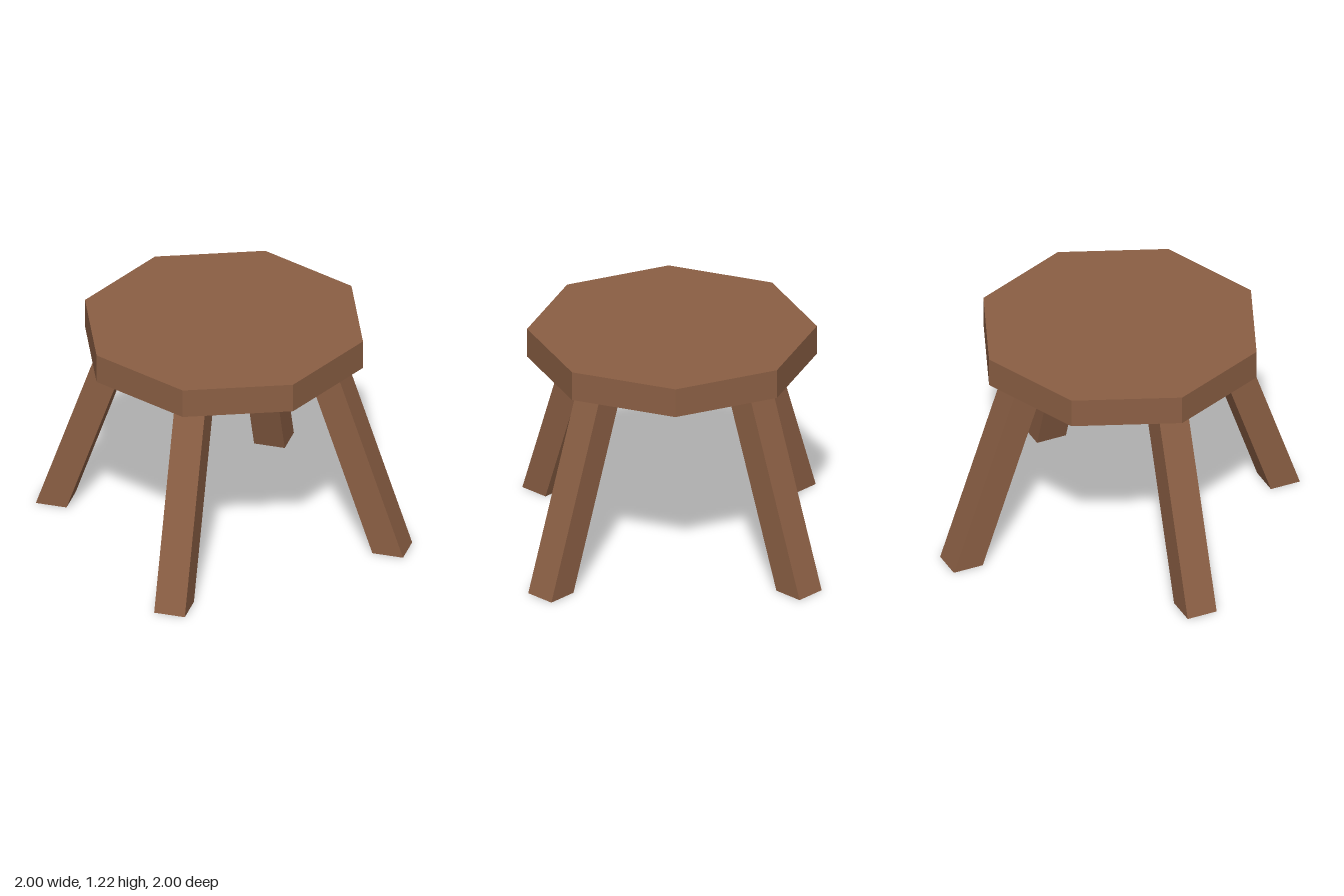
import * as THREE from 'three';

const SEAT_BOTTOM = 1.06, SEAT_TOP = 1.22;

// Square post leaning outwards along +x, with level ends
function legGeometry() {
  const g = new THREE.BoxGeometry(0.167, SEAT_BOTTOM, 0.167);
  g.translate(0, SEAT_BOTTOM / 2, 0);
  const p = g.attributes.position;
  for (let i = 0; i < p.count; i++) {
    const t = p.getY(i) / SEAT_BOTTOM;
    p.setX(i, p.getX(i) + THREE.MathUtils.lerp(0.9165, 0.552, t));
    p.setZ(i, p.getZ(i) - 0.004 * t);
  }
  g.computeVertexNormals();
  return g;
}

export function createModel() {
  const stool = new THREE.Group();
  stool.name = 'stool';
  const wood = new THREE.MeshStandardMaterial({ color: 0x8b5f44, flatShading: true });
  wood.name = 'brown wood';

  // Octagonal seat with corners on the x and z axes
  const seat = new THREE.Mesh(
    new THREE.CylinderGeometry(0.757, 0.757, SEAT_TOP - SEAT_BOTTOM, 8), wood);
  seat.name = 'seat';
  seat.position.y = (SEAT_TOP + SEAT_BOTTOM) / 2;
  stool.add(seat);

  // Four splayed legs, one under every other corner
  const geometry = legGeometry();
  ['leftLeg', 'backLeg', 'rightLeg', 'frontLeg'].forEach((name, i) => {
    const leg = new THREE.Mesh(geometry, wood);
    leg.name = name;
    leg.rotation.y = i * Math.PI / 2;
    stool.add(leg);
  });
  return stool;
}
